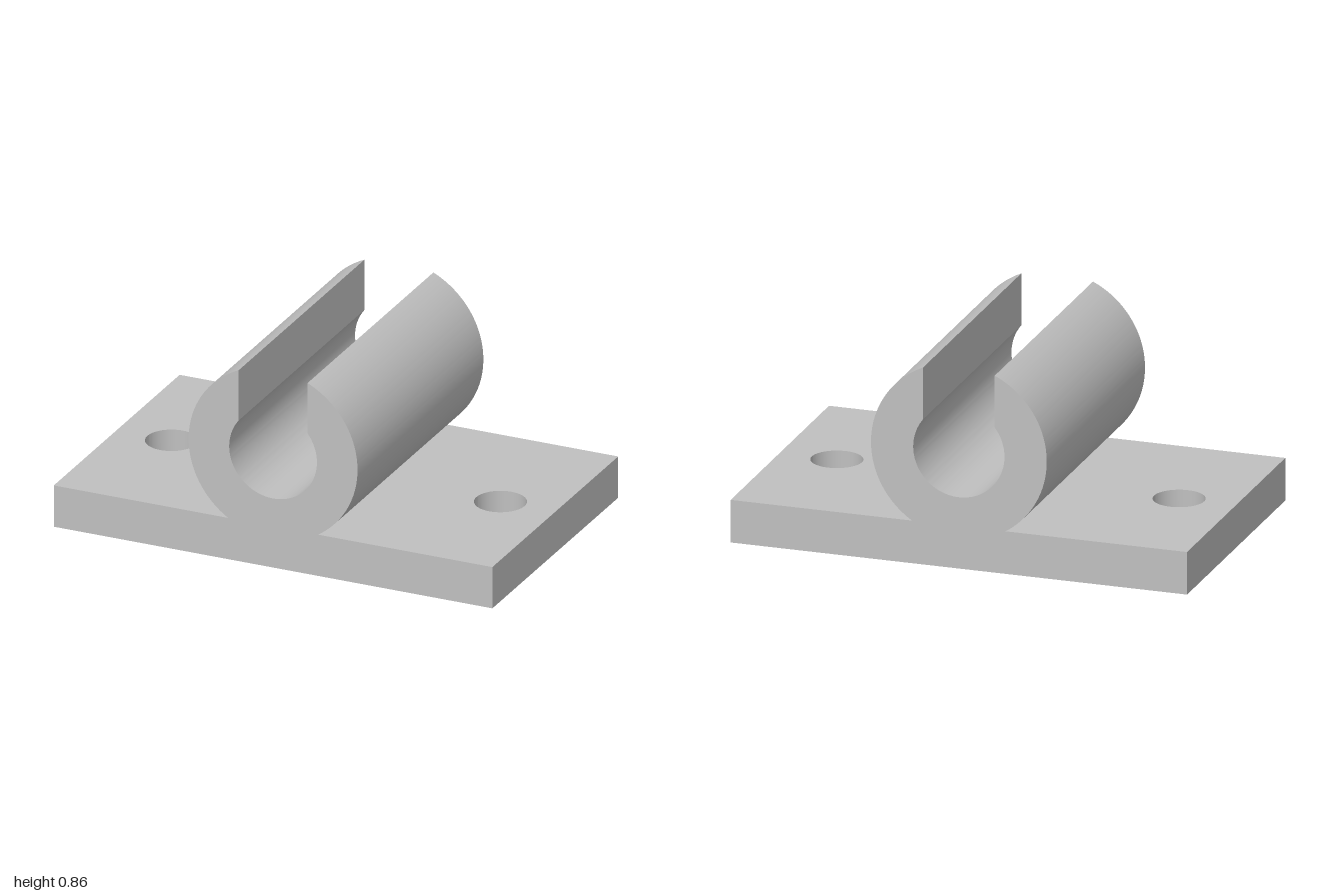
import * as THREE from 'three';
import { toCreasedNormals } from 'three/addons/utils/BufferGeometryUtils.js';

const WIDTH = 2, DEPTH = 1.247, BASE_H = 0.187;
const HOLE_X = 0.75, HOLE_R = 0.11;
const AXIS_Y = 0.513, OUTER_R = 0.385, INNER_R = 0.2, SLOT = 0.157;

function extrude(shape, depth) {
  const geometry = new THREE.ExtrudeGeometry(shape, { depth, bevelEnabled: false, curveSegments: 48 });
  return toCreasedNormals(geometry, Math.PI / 6);
}

function addPart(group, name, geometry, material) {
  const mesh = new THREE.Mesh(geometry, material);
  mesh.name = name;
  group.add(mesh);
}

export function createModel() {
  const group = new THREE.Group();
  group.name = 'pipeClip';
  const grey = new THREE.MeshStandardMaterial({ color: 0xc0c0c0 });
  grey.name = 'light grey';

  // Mounting plate with two screw holes
  const plate = new THREE.Shape();
  plate.moveTo(-WIDTH / 2, -DEPTH / 2);
  plate.lineTo(WIDTH / 2, -DEPTH / 2);
  plate.lineTo(WIDTH / 2, DEPTH / 2);
  plate.lineTo(-WIDTH / 2, DEPTH / 2);
  plate.closePath();
  for (const side of [-1, 1]) {
    const hole = new THREE.Path();
    hole.absarc(side * HOLE_X, 0, HOLE_R, 0, Math.PI * 2, true);
    plate.holes.push(hole);
  }
  addPart(group, 'mountingPlate', extrude(plate, BASE_H).rotateX(-Math.PI / 2), grey);

  // Slotted tube: outer arcs meet the plate, inner arc opens into the slot
  const foot = Math.asin((BASE_H - AXIS_Y) / OUTER_R);
  const lip = Math.acos(SLOT / OUTER_R);
  const throat = Math.acos(SLOT / INNER_R);
  const clip = new THREE.Shape();
  clip.absarc(0, AXIS_Y, OUTER_R, foot, lip, false);
  clip.absarc(0, AXIS_Y, INNER_R, throat, Math.PI - throat, true);
  clip.absarc(0, AXIS_Y, OUTER_R, Math.PI - lip, Math.PI - foot, false);
  clip.closePath();
  addPart(group, 'slottedTube', extrude(clip, DEPTH).translate(0, 0, -DEPTH / 2), grey);

  return group;
}
